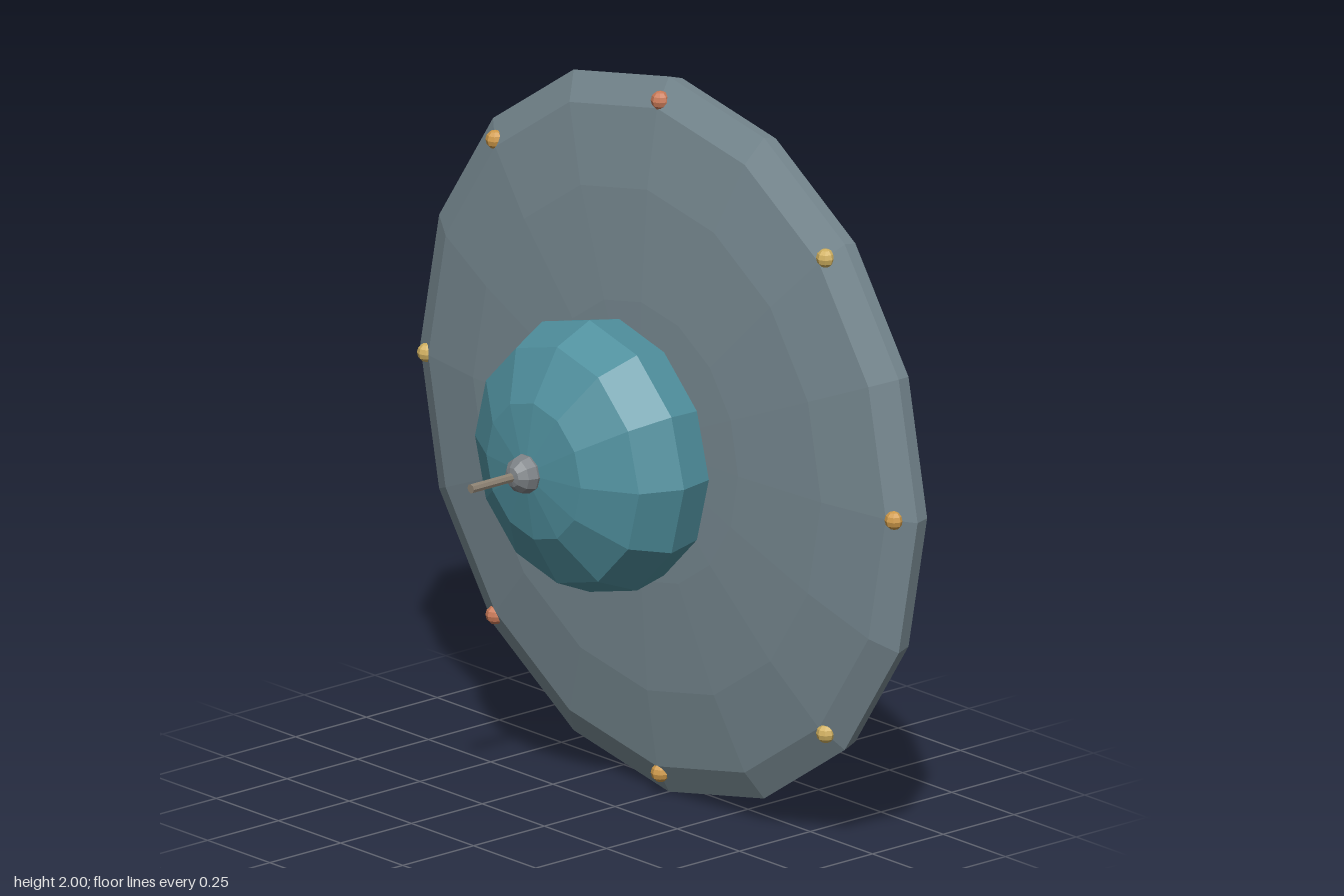
import * as THREE from 'three';

const material = (color) => new THREE.MeshStandardMaterial({ color, flatShading: true });

function addMesh(parent, name, geometry, mat) {
  const mesh = new THREE.Mesh(geometry, mat);
  mesh.name = name;
  parent.add(mesh);
  return mesh;
}

// Revolves a profile of [radius, z] points, listed back to front, around the z axis.
function spin(profile, sides) {
  const points = profile.map(([r, z]) => new THREE.Vector2(r, z));
  return new THREE.LatheGeometry(points, sides).rotateX(Math.PI / 2);
}

export function createModel() {
  const saucer = new THREE.Group();
  saucer.name = 'flyingSaucer';
  saucer.position.y = 1;

  // Wide disc with a thin faceted rim
  addMesh(saucer, 'hull', spin([
    [0, -0.355], [0.6, -0.355], [0.81, -0.3], [0.985, -0.237], [1, -0.19],
    [0.92, -0.148], [0.7, -0.113], [0.39, -0.092], [0, -0.085],
  ], 16), material(0x788a92));

  // Shallow pod behind the disc, meeting it at a blunt point
  addMesh(saucer, 'rearPod', spin([
    [0, -0.51], [0.4, -0.51], [0.455, -0.455], [0.29, -0.38], [0, -0.355],
  ], 12), material(0x5c6a72));

  // Cockpit dome
  addMesh(saucer, 'dome', spin([
    [0, -0.1], [0.24, -0.095], [0.36, -0.015], [0.38, 0.09],
    [0.33, 0.205], [0.19, 0.288], [0, 0.32],
  ], 12), material(0x4f8f9d));

  // Antenna on the tip of the dome
  const antenna = new THREE.Group();
  antenna.name = 'antenna';
  saucer.add(antenna);
  const ball = new THREE.SphereGeometry(0.054, 10, 6).rotateX(Math.PI / 2);
  addMesh(antenna, 'antennaBall', ball, material(0x7d8286)).position.z = 0.318;
  const rod = new THREE.CylinderGeometry(0.013, 0.013, 0.19, 8).rotateX(Math.PI / 2);
  addMesh(antenna, 'antennaRod', rod, material(0x8c8172)).position.z = 0.415;

  // Eight rim lights in three repeating colours
  const lightMaterials = [0xcf9a4a, 0xd0b060, 0xc97a58].map(material);
  const bulb = new THREE.SphereGeometry(0.026, 8, 6);
  for (let i = 0; i < 8; i++) {
    const a = (i * Math.PI) / 4;
    const light = addMesh(saucer, 'rimLight', bulb, lightMaterials[i % 3]);
    light.position.set(0.94 * Math.cos(a), 0.94 * Math.sin(a), -0.16);
  }

  const model = new THREE.Group();
  model.name = 'model';
  model.add(saucer);
  return model;
}
